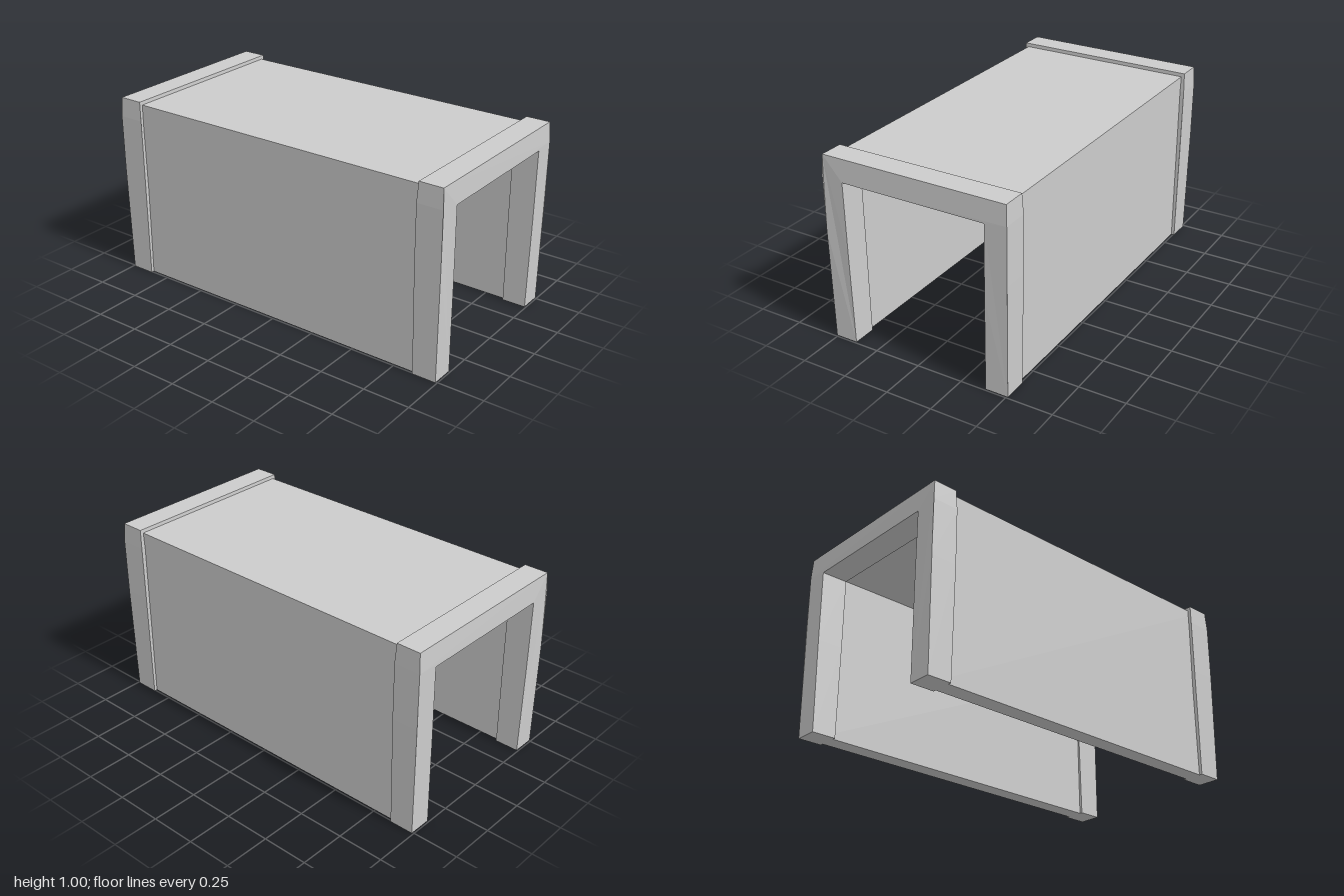
import * as THREE from 'three';

// Upside-down U outline from its right half (outer bottom up to the crown, then down the inside)
function archGeometry(rightHalf, depth) {
  const points = rightHalf.map(([x, y]) => new THREE.Vector2(x, y));
  const outer = points.filter((p, i) => i < rightHalf.outerCount);
  const inner = points.filter((p, i) => i >= rightHalf.outerCount);
  const mirror = (list) => list.map((p) => new THREE.Vector2(-p.x, p.y)).reverse();
  const outline = [...outer, ...mirror(outer), ...mirror(inner), ...inner];
  const geometry = new THREE.ExtrudeGeometry(new THREE.Shape(outline), { depth, bevelEnabled: false });
  geometry.translate(0, 0, -depth / 2);
  return geometry;
}

function half(outer, inner) {
  const list = [...outer, ...inner];
  list.outerCount = outer.length;
  return list;
}

export function createModel() {
  const model = new THREE.Group();
  model.name = 'tunnel';
  const grey = new THREE.MeshStandardMaterial({ name: 'light grey', color: 0xcccccc });

  // Long straight shell, open at the bottom and both ends
  const shellProfile = half([[0.49, 0], [0.49, 0.985]], [[0.4, 0.89], [0.4, 0]]);
  const shell = new THREE.Mesh(archGeometry(shellProfile, 1.85), grey);
  shell.name = 'shell';
  model.add(shell);

  // Thicker end frames, legs slightly tapered and swelling towards the shoulders
  const frameProfile = half(
    [[0.507, 0], [0.512, 0.6], [0.512, 0.9], [0.507, 1.005]],
    [[0.394, 0.885], [0.39, 0.5], [0.384, 0]]
  );
  const bulge = (y) => (y > 0.9 ? 0.006 * (1.005 - y) / 0.105 : 0.006 * Math.min(1, y / 0.6));
  for (const side of [1, -1]) {
    const geometry = archGeometry(frameProfile, 0.13);
    const position = geometry.attributes.position;
    for (let i = 0; i < position.count; i++) {
      const z = position.getZ(i);
      position.setZ(i, z + Math.sign(z) * bulge(position.getY(i)));
    }
    geometry.computeVertexNormals();
    const frame = new THREE.Mesh(geometry, grey);
    frame.name = side > 0 ? 'frontFrame' : 'backFrame';
    frame.position.z = side * 0.927;
    model.add(frame);
  }
  return model;
}
